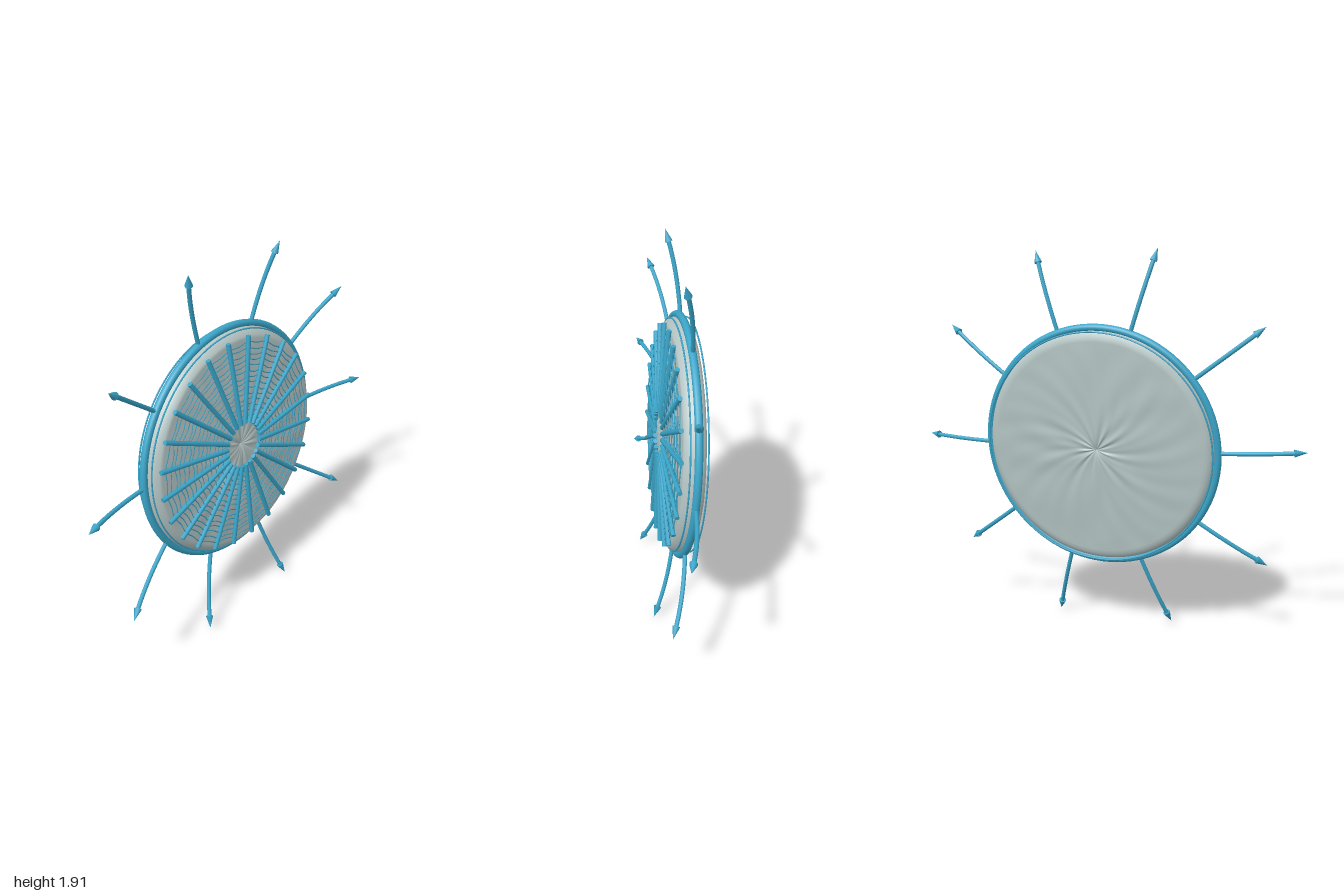
import * as THREE from 'three';
import { mergeVertices } from 'three/addons/utils/BufferGeometryUtils.js';

const blue = new THREE.MeshStandardMaterial({ color: 0x3aa6ca });
blue.name = 'blue metal';
const grey = new THREE.MeshStandardMaterial({ color: 0xb6c6c6, side: THREE.DoubleSide });
grey.name = 'pale cloth';

const CENTRE_RADIUS = 0.593;
// depth of the gently domed front frame at a given radius
const domeZ = (r) => 0.088 - 0.06 * r * r;

function add(parent, name, geometry, material) {
  const mesh = new THREE.Mesh(geometry, material);
  mesh.name = name;
  parent.add(mesh);
  return mesh;
}

// Puffed cloth drum with swirling wrinkles gathered at the centre
function clothGeometry() {
  const profile = [];
  for (let i = 0; i <= 30; i++) {
    const r = 0.001 + 0.549 * (i / 30);
    profile.push(new THREE.Vector2(r, -0.058 + 0.05 * r * r));
  }
  profile.push(new THREE.Vector2(0.572, -0.032), new THREE.Vector2(0.582, -0.01),
    new THREE.Vector2(0.582, 0.01), new THREE.Vector2(0.572, 0.035));
  for (let i = 30; i >= 0; i--) {
    const r = 0.001 + 0.549 * (i / 30);
    profile.push(new THREE.Vector2(r, domeZ(r) - 0.01));
  }
  let g = new THREE.LatheGeometry(profile, 144);
  g.rotateX(Math.PI / 2);
  g.deleteAttribute('uv');
  g.deleteAttribute('normal');
  const p = g.attributes.position;
  for (let i = 0; i < p.count; i++) {
    const x = p.getX(i), y = p.getY(i), z = p.getZ(i);
    const r = Math.hypot(x, y), a = Math.atan2(y, x);
    const fade = Math.min(1, r / 0.06) * Math.max(0, Math.min(1, (0.58 - r) / 0.1));
    const swirl = Math.sin(14 * a + 9 * r) * 0.0022 * Math.exp(-r * 3)
      + Math.sin(9 * a - 14 * r + 2 * Math.sin(3 * a)) * 0.0014
      + Math.sin(23 * a + 20 * r) * 0.0008;
    const pinch = 0.016 * Math.exp(-r * 45);
    p.setZ(i, z + fade * swirl + (z < 0 ? pinch : -pinch));
  }
  g = mergeVertices(g, 1e-5);
  g.computeVertexNormals();
  return g;
}

// Slightly uneven thread loop woven across the ribs
function threadGeometry(radius, index) {
  const pts = [];
  for (let i = 0; i < 144; i++) {
    const a = (i / 144) * Math.PI * 2;
    const sag = 0.004 * Math.cos(24 * (a - 0.075));
    const r = radius + sag + 0.0025 * Math.sin(7 * a + index * 1.7);
    const z = domeZ(r) - 0.003 + 0.003 * Math.cos(12 * a + index * Math.PI);
    pts.push(new THREE.Vector3(r * Math.cos(a), r * Math.sin(a), z));
  }
  return new THREE.TubeGeometry(new THREE.CatmullRomCurve3(pts, true), 192, 0.0028, 4, true);
}

export function createModel() {
  const model = new THREE.Group();
  model.name = 'spikedWheel';
  const wheel = new THREE.Group();
  wheel.name = 'tiltedWheel';
  wheel.position.set(0, 0.955, -0.04);
  wheel.rotation.set(-0.075, -0.048, 0);
  model.add(wheel);

  // Main rim and the two thin wires that hold the cloth
  add(wheel, 'rim', new THREE.TorusGeometry(CENTRE_RADIUS, 0.019, 12, 96), blue);
  add(wheel, 'backWire', new THREE.TorusGeometry(0.58, 0.004, 6, 96), blue).position.z = -0.046;
  add(wheel, 'frontWire', new THREE.TorusGeometry(0.575, 0.004, 6, 96), blue).position.z = 0.034;
  add(wheel, 'cloth', clothGeometry(), grey);

  // Radial ribs over the front
  const up = new THREE.Vector3(0, 1, 0);
  const inner = new THREE.Vector3(0.115, 0, domeZ(0.115));
  const outer = new THREE.Vector3(0.553, 0, domeZ(0.553));
  const dir = outer.clone().sub(inner);
  const ribGeo = new THREE.CylinderGeometry(0.012, 0.012, dir.length(), 8);
  ribGeo.applyQuaternion(new THREE.Quaternion().setFromUnitVectors(up, dir.normalize()));
  const mid = inner.clone().add(outer).multiplyScalar(0.5);
  ribGeo.translate(mid.x, mid.y, mid.z);
  for (let i = 0; i < 24; i++) {
    add(wheel, 'rib', ribGeo, blue).rotation.z = 0.075 + (i * Math.PI) / 12;
  }

  // Woven threads
  for (let i = 0; i < 15; i++) {
    add(wheel, 'thread', threadGeometry(0.13 + i * 0.0275, i), blue);
  }

  // Forward-curving spikes with arrow tips
  const curve = new THREE.QuadraticBezierCurve3(
    new THREE.Vector3(0.6, 0, 0), new THREE.Vector3(0.79, 0, 0.018), new THREE.Vector3(0.945, 0, 0.068));
  const shaftGeo = new THREE.TubeGeometry(curve, 12, 0.0105, 8);
  const tipDir = curve.getTangent(1);
  const tipGeo = new THREE.ConeGeometry(0.019, 0.062, 10);
  tipGeo.translate(0, 0.027, 0);
  tipGeo.applyQuaternion(new THREE.Quaternion().setFromUnitVectors(up, tipDir));
  tipGeo.translate(0.945, 0, 0.068);
  for (let i = 0; i < 10; i++) {
    const spike = new THREE.Group();
    spike.name = 'spike';
    add(spike, 'spikeShaft', shaftGeo, blue);
    add(spike, 'spikeTip', tipGeo, blue);
    spike.rotation.z = -0.033 + (i * Math.PI) / 5;
    wheel.add(spike);
  }
  return model;
}
